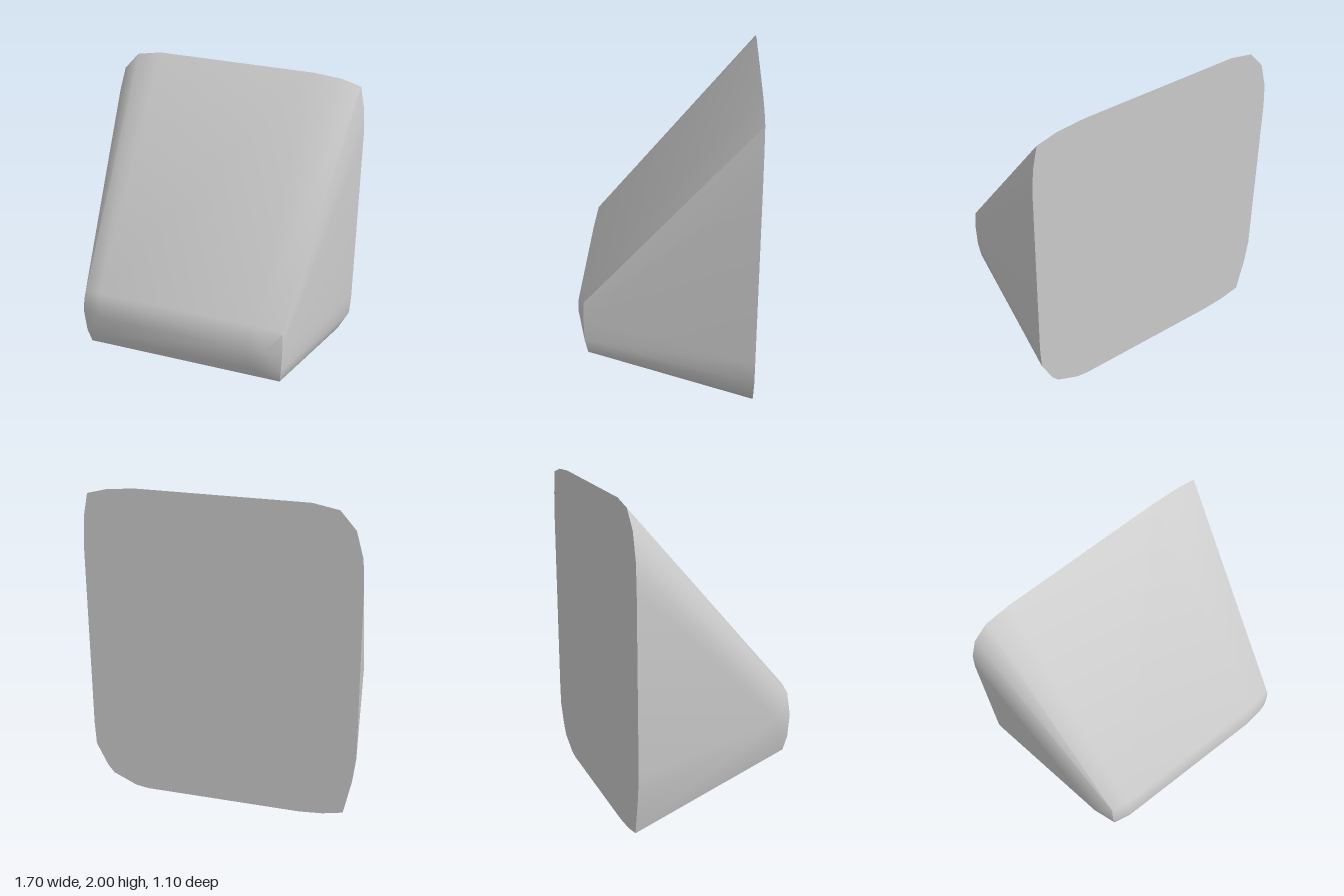
import * as THREE from 'three';
import { ConvexGeometry } from 'three/addons/geometries/ConvexGeometry.js';
import { toCreasedNormals } from 'three/addons/utils/BufferGeometryUtils.js';

const grey = new THREE.MeshStandardMaterial({ name: 'light grey', color: 0xcccccc });

// Flat back face: rounded rectangle as [x, y] at z = BACK
const BACK = -0.55;
const backOutline = [
  [-0.54, 2], [0.5, 2], [0.68, 1.985], [0.81, 1.95], [0.84, 1.8], [0.85, 1.64],
  [0.85, 0.43], [0.843, 0.28], [0.77, 0.13], [0.73, 0.08], [0.58, 0.012], [0.5, 0],
  [-0.5, 0], [-0.65, 0.012], [-0.78, 0.04], [-0.83, 0.27], [-0.85, 0.43],
  [-0.85, 1.55], [-0.84, 1.7], [-0.796, 1.86], [-0.7, 1.97],
];

// Rounded nose: rows across the width, each point [x, y, z]
const noseRows = [
  [[-0.65, 0.74, 0.49], [-0.54, 0.758, 0.51], [0.5, 0.758, 0.51], [0.665, 0.72, 0.49]],
  [[-0.72, 0.6, 0.385], [-0.665, 0.6, 0.505], [-0.54, 0.6, 0.55],
    [0.43, 0.6, 0.55], [0.57, 0.6, 0.535], [0.67, 0.6, 0.495]],
  [[-0.65, 0.45, 0.5], [-0.54, 0.44, 0.52], [0.5, 0.44, 0.52], [0.665, 0.45, 0.493]],
  [[-0.63, 0.355, 0.48], [0.655, 0.357, 0.475]],
];

export function createModel() {
  const group = new THREE.Group();
  group.name = 'wedgeBlock';

  // Tapering body: hull from the back outline to the nose
  const points = [
    ...backOutline.map(([x, y]) => new THREE.Vector3(x, y, BACK)),
    ...noseRows.flat().map((p) => new THREE.Vector3(...p)),
  ];
  const body = new THREE.Mesh(toCreasedNormals(new ConvexGeometry(points), 0.6), grey);
  body.name = 'body';
  group.add(body);
  return group;
}
